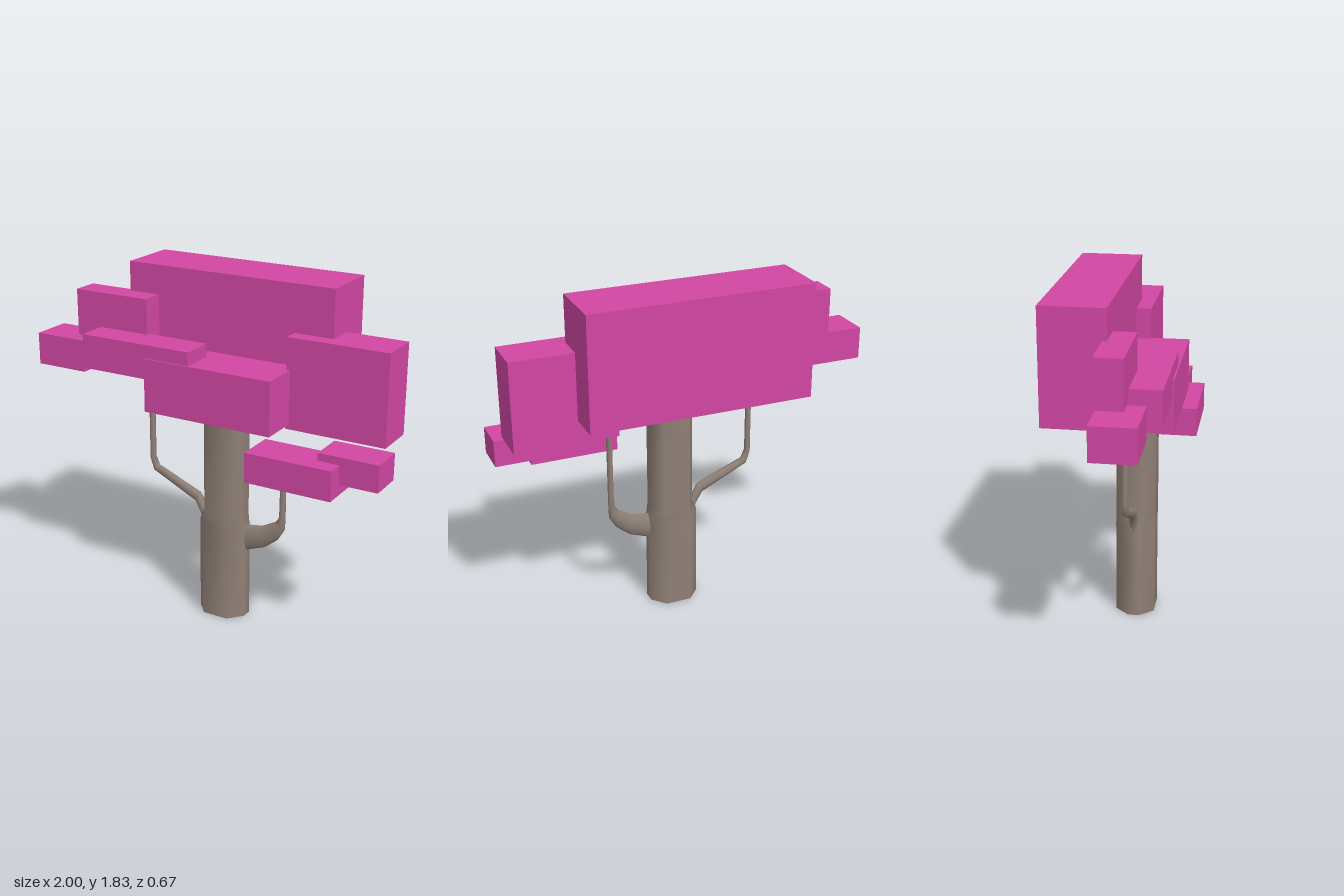
import * as THREE from 'three';

const wood = new THREE.MeshStandardMaterial({ color: 0x8f8076 });
const blossom = new THREE.MeshStandardMaterial({ color: 0xd147a3 });
const MID_Z = 0.05;

// Smooth skin through rings of equal length, with flat caps on both ends
function loft(rings) {
  const n = rings[0].length, pos = [], idx = [];
  rings.forEach(r => r.forEach(p => pos.push(p.x, p.y, p.z)));
  for (let i = 0; i < rings.length - 1; i++) {
    for (let j = 0; j < n; j++) {
      const a = i * n + j, b = i * n + (j + 1) % n;
      idx.push(a, b, b + n, a, b + n, a + n);
    }
  }
  for (const end of [0, rings.length - 1]) {
    const base = pos.length / 3;
    rings[end].forEach(p => pos.push(p.x, p.y, p.z));
    for (let j = 1; j < n - 1; j++) {
      if (end) idx.push(base, base + j, base + j + 1);
      else idx.push(base, base + j + 1, base + j);
    }
  }
  const g = new THREE.BufferGeometry();
  g.setAttribute('position', new THREE.Float32BufferAttribute(pos, 3));
  g.setIndex(idx);
  g.computeVertexNormals();
  return g;
}

// Eight-sided trunk section: x extents, width of the side facet, height
function trunkRing([y, x0, x1, side]) {
  const c = (x0 + x1) / 2, h = (x1 - x0) / 2, d = 0.103;
  return [[-h, side], [-0.07, d], [0.07, d], [h, side], [h, -side], [0.07, -d], [-0.07, -d], [-h, -side]]
    .map(([x, z]) => new THREE.Vector3(c + x, y, MID_Z + z));
}

// Branch section between its left-hand and right-hand outline points, with half depth d
function branchRing([lx, ly, rx, ry, d]) {
  const ring = [];
  for (let j = 0; j < 8; j++) {
    const a = j / 8 * Math.PI * 2, c = Math.cos(a) / 2;
    ring.push(new THREE.Vector3(
      (lx + rx) / 2 + (lx - rx) * c,
      (ly + ry) / 2 + (ly - ry) * c,
      MID_Z + Math.sin(a) * d));
  }
  return ring;
}

export function createModel() {
  const group = new THREE.Group();
  const add = (name, geometry, material) => {
    const mesh = new THREE.Mesh(geometry, material);
    mesh.name = name;
    group.add(mesh);
    return mesh;
  };

  // Trunk, slightly narrower above the branches
  add('trunk', loft([
    [0, -0.07, 0.2, 0.03], [0.3, -0.07, 0.2, 0.028], [0.52, -0.07, 0.2, 0.025],
    [0.58, -0.038, 0.185, 0.04], [1.25, -0.035, 0.183, 0.045],
  ].map(trunkRing)), wood);

  // Bent branches, tapering out of the trunk
  add('leftBranch', loft([
    [0.14, 0.54, 0.14, 0.36, 0.035], [0.2, 0.53, 0.2, 0.385, 0.03],
    [0.29, 0.545, 0.305, 0.425, 0.024], [0.365, 0.585, 0.38, 0.485, 0.02],
    [0.385, 0.61, 0.42, 0.55, 0.02], [0.39, 0.67, 0.422, 0.65, 0.019],
    [0.39, 1.02, 0.422, 1.02, 0.018],
  ].map(branchRing)), wood);
  add('rightBranch', loft([
    [-0.068, 0.46, 0.0, 0.49, 0.03], [-0.074, 0.53, -0.04, 0.57, 0.025],
    [-0.11, 0.595, -0.09, 0.655, 0.022], [-0.34, 0.705, -0.31, 0.742, 0.019],
    [-0.372, 0.72, -0.345, 0.755, 0.019], [-0.396, 0.79, -0.365, 0.8, 0.018],
    [-0.396, 1.4, -0.365, 1.4, 0.017],
  ].map(branchRing)), wood);

  // Block-shaped foliage: x, y and z ranges
  const blocks = {
    crownFoliage: [-0.54, 0.63, 1.235, 1.83, -0.335, -0.007],
    upperRightFoliage: [-0.8, -0.365, 1.395, 1.675, -0.03, 0.11],
    outerRightFoliage: [-1, -0.705, 1.26, 1.43, -0.02, 0.2],
    frontRightFoliage: [-0.655, -0.02, 1.31, 1.49, 0.09, 0.268],
    frontMiddleFoliage: [-0.275, 0.44, 1.14, 1.42, 0, 0.277],
    leftFoliage: [0.42, 0.955, 1.115, 1.585, -0.152, 0.072],
    lowerLeftFoliage: [0.337, 0.8, 0.905, 1.06, 0.12, 0.335],
    outerLeftFoliage: [0.685, 1, 0.96, 1.1, 0.06, 0.245],
  };
  for (const [name, [x0, x1, y0, y1, z0, z1]] of Object.entries(blocks)) {
    add(name, new THREE.BoxGeometry(x1 - x0, y1 - y0, z1 - z0), blossom)
      .position.set((x0 + x1) / 2, (y0 + y1) / 2, (z0 + z1) / 2);
  }
  return group;
}
